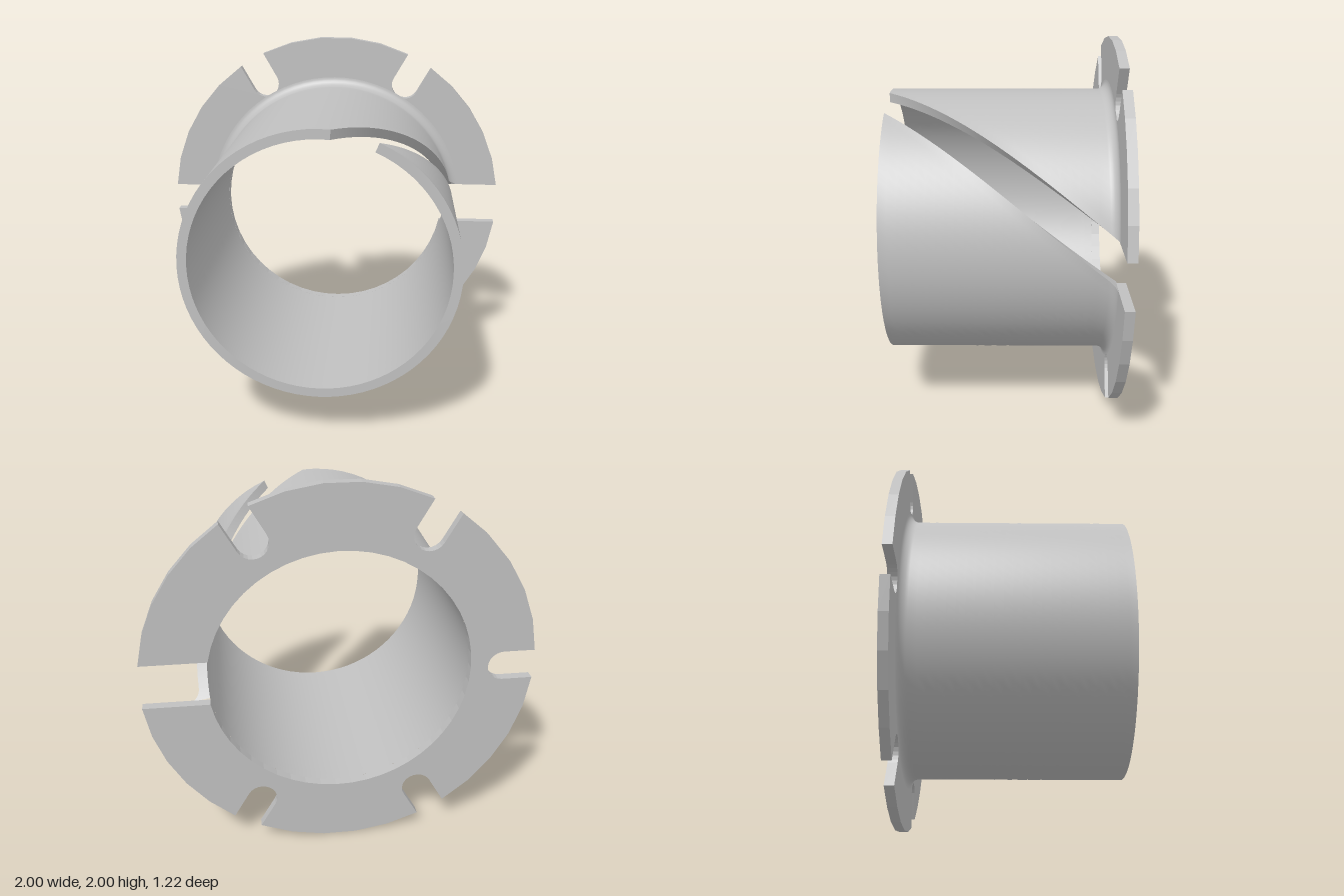
import * as THREE from 'three';

const INNER = 0.67, OUTER = 0.72, RIM = 1.003;
const BACK = -0.61, FACE = -0.56, FRONT = 0.61, FILLET = 0.05;
const HALF_GAP = 0.12, HALF_SLOT = 0.08, SLOT_END = 0.84;
const TWIST = 1.32, HALF_ANGLE = 0.167;

// Grid surface through point(u, v); its front is along du x dv
function surface(nu, nv, point) {
  const pos = [], idx = [];
  for (let j = 0; j <= nv; j++)
    for (let i = 0; i <= nu; i++) pos.push(...point(i / nu, j / nv));
  for (let j = 0; j < nv; j++)
    for (let i = 0; i < nu; i++) {
      const a = j * (nu + 1) + i, b = a + 1, c = a + nu + 1, d = c + 1;
      idx.push(a, b, d, a, d, c);
    }
  const g = new THREE.BufferGeometry();
  g.setAttribute('position', new THREE.Float32BufferAttribute(pos, 3));
  g.setIndex(idx);
  g.computeVertexNormals();
  return g;
}

// Flange outline: open ring with five round-ended bolt slots and one through gap
function flangeShape() {
  const pts = [];
  const polar = (r, a) => pts.push(new THREE.Vector2(r * Math.cos(a), r * Math.sin(a)));
  const arc = (r, a0, a1, n) => {
    for (let i = 0; i <= n; i++) polar(r, a0 + (a1 - a0) * i / n);
  };
  const gap = Math.asin(HALF_GAP / RIM), slot = Math.asin(HALF_SLOT / RIM);
  let start = gap;
  for (let k = 1; k <= 5; k++) {
    const mid = k * Math.PI / 3;
    arc(RIM, start, mid - slot, 5);
    for (let i = 0; i <= 12; i++) {
      const t = mid - Math.PI / 2 - Math.PI * i / 12;
      pts.push(new THREE.Vector2(
        SLOT_END * Math.cos(mid) + HALF_SLOT * Math.cos(t),
        SLOT_END * Math.sin(mid) + HALF_SLOT * Math.sin(t)));
    }
    start = mid + slot;
  }
  arc(RIM, start, 2 * Math.PI - gap, 5);
  const innerGap = Math.asin(HALF_GAP / INNER);
  arc(INNER, 2 * Math.PI - innerGap, innerGap, 48);
  return new THREE.Shape(pts);
}

export function createModel() {
  const grey = new THREE.MeshStandardMaterial({ color: 0xc0c0c0 });
  grey.name = 'plain grey';
  const model = new THREE.Group();
  model.name = 'slottedFlangedSleeve';
  const body = new THREE.Group();
  body.name = 'body';
  body.position.y = 1;
  model.add(body);
  const add = (name, geometry) => {
    const m = new THREE.Mesh(geometry, grey);
    m.name = name;
    body.add(m);
  };

  // Flange plate
  const plate = new THREE.ExtrudeGeometry(flangeShape(), { depth: FACE - BACK, bevelEnabled: false });
  plate.translate(0, 0, BACK);
  add('flange', plate);

  // Rings along the sleeve: fillet quarter-round first, then the straight tube
  const rings = [];
  for (let i = 0; i <= 8; i++) {
    const t = i / 8 * Math.PI / 2;
    rings.push([FACE + FILLET * (1 - Math.cos(t)), OUTER + FILLET * (1 - Math.sin(t))]);
  }
  for (let i = 1; i <= 24; i++) rings.push([FACE + FILLET + (FRONT - FACE - FILLET) * i / 24, OUTER]);
  const last = rings.length - 1;
  const ring = v => rings[Math.round(v * last)];

  // Helical gap: the sleeve starts at its upper edge and runs round to its lower edge
  const angle = (u, z) => TWIST * (z - FACE) / (FRONT - FACE) + HALF_ANGLE
    + u * (2 * Math.PI - 2 * HALF_ANGLE);
  const at = (r, u, z) => [r * Math.cos(angle(u, z)), r * Math.sin(angle(u, z)), z];
  const wall = (u, s, v) => {
    const [z, r] = ring(v);
    return at(INNER + (r - INNER) * s, u, z);
  };

  add('sleeveOutside', surface(72, last, (u, v) => wall(u, 1, v)));
  add('sleeveInside', surface(72, last, (u, v) => wall(1 - u, 0, v)));
  add('sleeveFrontRim', surface(1, 72, (u, v) => wall(v, u, 1)));
  add('gapUpperEdge', surface(1, last, (u, v) => wall(0, u, v)));
  add('gapLowerEdge', surface(1, last, (u, v) => wall(1, 1 - u, v)));

  return model;
}
